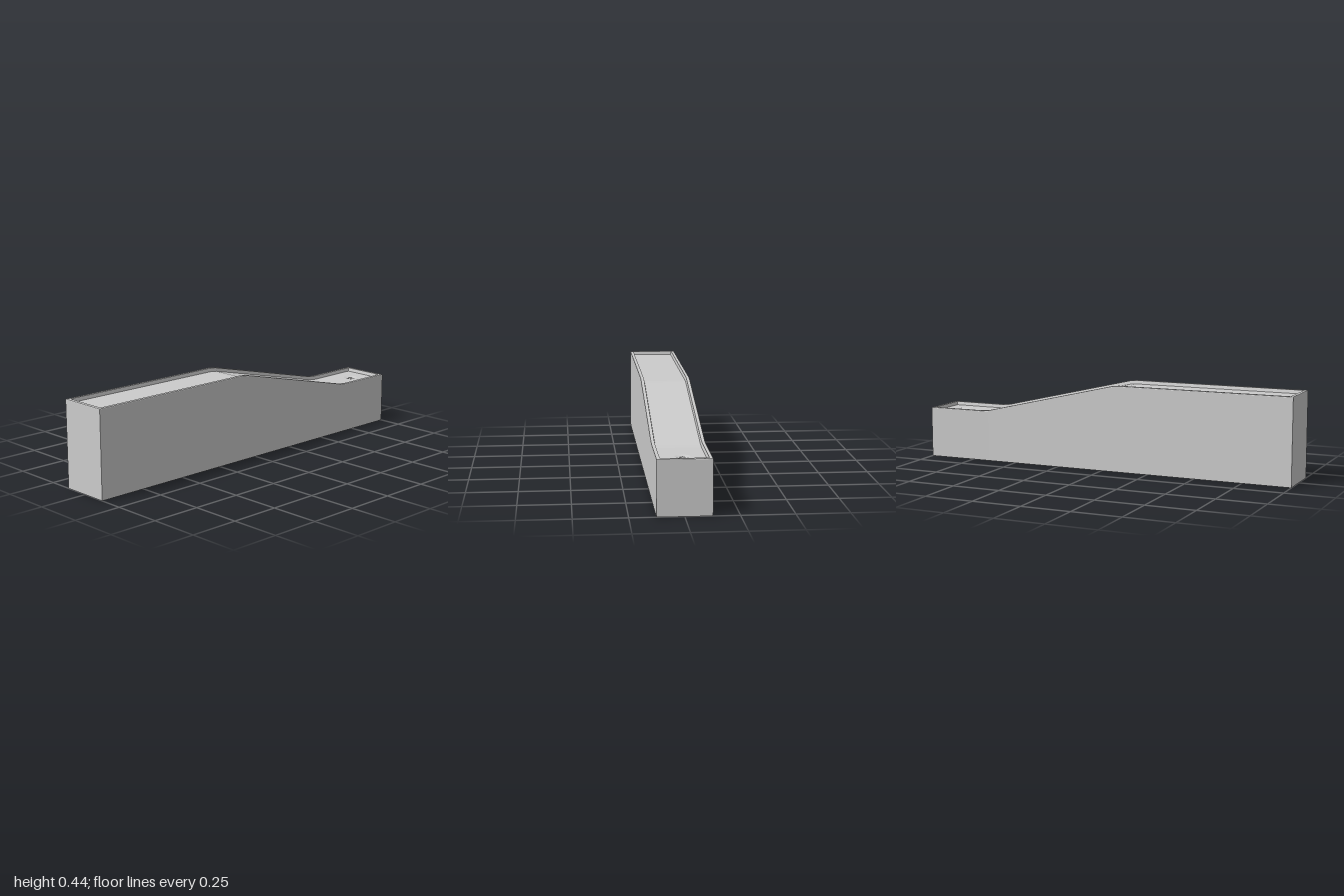
import * as THREE from 'three';

const HALF_W = 0.127, HALF_L = 1;
// top edge, front to back: [z, y]
const PROFILE = [[1, 0.44], [0.09, 0.44], [0.055, 0.436], [-0.655, 0.268], [-0.7, 0.264], [-1, 0.264]];
const BACK_Y = 0.264, DECK_DROP = 0.018, DECK_THICK = 0.018, WALL = 0.02;
const HOLE_Z = -0.875, HOLE_R = 0.013, DISH_R = 0.036, SPLIT_Z = -0.78;

const clampZ = (z, inset) => Math.max(-HALF_L + inset, Math.min(HALF_L - inset, z));

// closed loop around the plan, following the profile; drop = null means ground level
function ring(inset, drop) {
  const side = (s) => PROFILE.map(([z, y]) =>
    [s * (HALF_W - inset), drop === null ? 0 : y - drop, clampZ(z, inset)]);
  return [...side(1), ...side(-1).reverse()];
}

function loft(rings) {
  const pos = [];
  for (let r = 0; r < rings.length - 1; r++) {
    const a = rings[r], b = rings[r + 1];
    for (let i = 0; i < a.length; i++) {
      const j = (i + 1) % a.length;
      pos.push(...a[i], ...a[j], ...b[j], ...a[i], ...b[j], ...b[i]);
    }
  }
  const g = new THREE.BufferGeometry();
  g.setAttribute('position', new THREE.Float32BufferAttribute(pos, 3));
  g.computeVertexNormals();
  return g;
}

export function createModel() {
  const group = new THREE.Group();
  const mat = new THREE.MeshStandardMaterial({ color: 0xcccccc, side: THREE.DoubleSide });
  const add = (geo, name) => {
    const m = new THREE.Mesh(geo, mat);
    m.name = name;
    group.add(m);
    return m;
  };

  // thin walls with a softened rim, open underneath
  add(loft([
    ring(WALL, DECK_DROP + DECK_THICK),
    ring(WALL, null),
    ring(0, null),
    ring(0, 0.004),
    ring(0.0015, 0.001),
    ring(0.004, 0),
    ring(0.017, 0),
    ring(0.021, DECK_DROP),
  ]), 'walls');

  // recessed deck, following the slope
  const w = HALF_W - WALL + 0.001, end = HALF_L - WALL + 0.001;
  const top = PROFILE.map(([z, y]) => [Math.max(SPLIT_Z, Math.min(end, z)), y - DECK_DROP]);
  const under = top.map(([z, y]) => [z, y - DECK_THICK]).reverse();
  const deckShape = new THREE.Shape([...top, ...under].map(([z, y]) => new THREE.Vector2(z, y)));
  const deck = new THREE.ExtrudeGeometry(deckShape, { depth: 2 * w, bevelEnabled: false });
  deck.rotateY(-Math.PI / 2).translate(w, 0, 0);
  add(deck, 'deck');

  // rear end of the deck with a round opening
  const plate = new THREE.Shape();
  plate.moveTo(-w, -SPLIT_Z);
  plate.lineTo(w, -SPLIT_Z);
  plate.lineTo(w, end);
  plate.lineTo(-w, end);
  plate.closePath();
  const opening = new THREE.Path();
  opening.absarc(0, -HOLE_Z, DISH_R, 0, Math.PI * 2, true);
  plate.holes.push(opening);
  const plateGeo = new THREE.ExtrudeGeometry(plate, { depth: DECK_THICK, bevelEnabled: false, curveSegments: 24 });
  plateGeo.rotateX(-Math.PI / 2).translate(0, BACK_Y - DECK_DROP - DECK_THICK, 0);
  add(plateGeo, 'rearDeck');

  // shallow dish and drain hole
  const drainProfile = [[DISH_R, 0], [HOLE_R, -0.005], [HOLE_R, -DECK_THICK], [DISH_R, -DECK_THICK]];
  const drainGeo = new THREE.LatheGeometry(drainProfile.map(([r, y]) => new THREE.Vector2(r, y)), 48).toNonIndexed();
  drainGeo.computeVertexNormals();
  add(drainGeo, 'drain').position.set(0, BACK_Y - DECK_DROP, HOLE_Z);

  return group;
}
